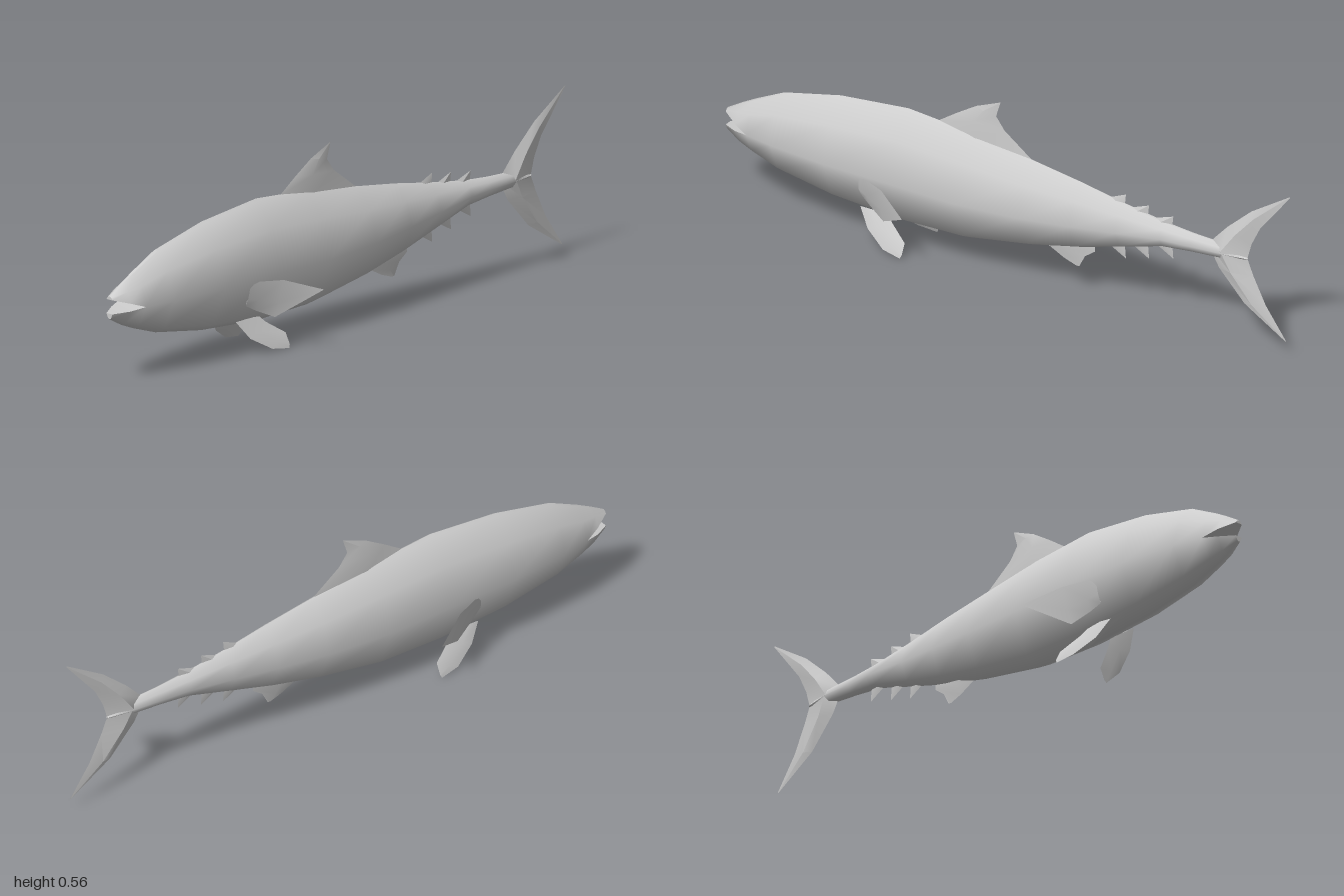
import * as THREE from 'three';
import { toCreasedNormals } from 'three/addons/utils/BufferGeometryUtils.js';

const skin = new THREE.MeshStandardMaterial({ color: 0xcccccc, side: THREE.DoubleSide });
skin.name = 'silver grey';

// Triangles joining neighbouring rings of points
function loft(rings, closed) {
  const out = [];
  for (let i = 0; i < rings.length - 1; i++) {
    const p = rings[i], q = rings[i + 1], n = p.length;
    for (let j = 0; j < (closed ? n : n - 1); j++) {
      const k = (j + 1) % n;
      out.push(...p[j], ...q[j], ...q[k], ...p[j], ...q[k], ...p[k]);
    }
  }
  return out;
}

// Fan closing the front end of a ring
function cap(ring) {
  const out = [];
  for (let j = 1; j < ring.length - 1; j++) out.push(...ring[0], ...ring[j], ...ring[j + 1]);
  return out;
}

function makeMesh(name, positions, crease) {
  const g = new THREE.BufferGeometry();
  g.setAttribute('position', new THREE.Float32BufferAttribute(positions, 3));
  const mesh = new THREE.Mesh(toCreasedNormals(g, crease), skin);
  mesh.name = name;
  return mesh;
}

// Body sections: x, top, bottom, half width, upper lip, lower lip
const sections = [
  [-1, 0.275, 0.205, 0.012, 0.265, 0.222],
  [-0.95, 0.305, 0.178, 0.04, 0.25, 0.226],
  [-0.9, 0.332, 0.158, 0.056, 0.233, 0.233],
  [-0.8, 0.38, 0.125, 0.078],
  [-0.6, 0.426, 0.092, 0.098],
  [-0.36, 0.45, 0.074, 0.1],
  [-0.14, 0.432, 0.08, 0.097],
  [0.08, 0.4, 0.118, 0.084],
  [0.25, 0.375, 0.157, 0.065],
  [0.4, 0.348, 0.2, 0.047],
  [0.55, 0.325, 0.245, 0.034],
  [0.65, 0.316, 0.255, 0.026],
  [0.75, 0.312, 0.262, 0.021],
  [0.84, 0.286, 0.28, 0.004],
];

function makeBody() {
  const upper = [], lower = [];
  for (const [x, top, bottom, w, up, low] of sections) {
    const side = bottom + (top - bottom) * 0.435;
    const u = up ?? side, l = low ?? side;
    const shoulder = u + (top - u) * 0.61, belly = l + (bottom - l) * 0.83;
    upper.push([[x, u, w], [x, shoulder, 0.68 * w], [x, top - 0.03 * (top - u), 0.09 * w], [x, top, 0],
      [x, top - 0.03 * (top - u), -0.09 * w], [x, shoulder, -0.68 * w], [x, u, -w]]);
    lower.push([[x, l, -w], [x, belly, -0.5 * w], [x, bottom, 0], [x, belly, 0.5 * w], [x, l, w]]);
  }
  // Roof and floor of the mouth
  const lips = arcs => arcs.slice(0, 3).map(r => [r[r.length - 1], r[0]]);
  return makeMesh('body', [
    ...loft(upper), ...loft(lower), ...loft(lips(upper)), ...loft(lips(lower)),
    ...cap(upper[0]), ...cap(lower[0]),
  ], 1.0);
}

// Lens-shaped fin; each row is leading point, trailing point, half thickness
function makeFin(name, rows, normal = [0, 0, 1]) {
  const rings = rows.map(([a, b, t]) => {
    const p = [a[0], a[1], a[2] ?? 0], q = [b[0], b[1], b[2] ?? 0];
    const mid = s => p.map((v, i) => v * 0.6 + q[i] * 0.4 + s * t * normal[i]);
    return [p, mid(1), q, mid(-1)];
  });
  return makeMesh(name, loft(rings, true), 0.5);
}

export function createModel() {
  const model = new THREE.Group();
  model.name = 'fish';
  model.add(makeBody());

  model.add(makeFin('dorsalFin', [
    [[-0.26, 0.435], [0.09, 0.39], 0.01],
    [[-0.19, 0.482], [-0.02, 0.47], 0.01],
    [[-0.12, 0.525], [-0.05, 0.51], 0.007],
    [[-0.035, 0.56], [-0.035, 0.558], 0],
  ]));

  model.add(makeFin('analFin', [
    [[0.12, 0.14], [0.3, 0.175], 0.01],
    [[0.14, 0.13], [0.3, 0.155], 0.008],
    [[0.19, 0.105], [0.265, 0.13], 0.005],
    [[0.235, 0.09], [0.245, 0.092], 0],
  ]));

  model.add(makeFin('tailFin', [
    [[0.99, 0.53], [0.992, 0.528], 0],
    [[0.855, 0.445], [0.885, 0.395], 0.009],
    [[0.77, 0.37], [0.855, 0.335], 0.014],
    [[0.7, 0.295], [0.84, 0.283], 0.019],
    [[0.74, 0.225], [0.862, 0.23], 0.014],
    [[0.83, 0.13], [0.905, 0.145], 0.008],
    [[0.975, 0.043], [0.977, 0.045], 0],
  ]));

  // Finlets along the tail, above and below
  const finlets = [[0.41, 0.377, 0.163], [0.492, 0.363, 0.185], [0.578, 0.35, 0.209]];
  finlets.forEach(([x, top, bottom], i) => {
    const dip = 0.01 * i;
    model.add(makeFin('upperFinlet', [
      [[x - 0.075, 0.345 - dip], [x - 0.005, 0.33 - dip], 0.007], [[x, top], [x, top], 0]]));
    model.add(makeFin('lowerFinlet', [
      [[x - 0.065, bottom + 0.035], [x - 0.005, bottom + 0.06], 0.007], [[x, bottom], [x, bottom], 0]]));
  });

  // Paired fins
  for (const s of [1, -1]) {
    const label = s > 0 ? 'left' : 'right';
    model.add(makeFin(label + 'PectoralFin', [
      [[-0.48, 0.155, s * 0.07], [-0.48, 0.22, s * 0.09], 0.006],
      [[-0.445, 0.135, s * 0.08], [-0.45, 0.23, s * 0.1], 0.006],
      [[-0.385, 0.108, s * 0.1], [-0.375, 0.225, s * 0.127], 0.005],
      [[-0.265, 0.183, s * 0.185], [-0.265, 0.185, s * 0.185], 0],
    ], [-0.5, -0.3, s * 0.8]));
    model.add(makeFin(label + 'PelvicFin', [
      [[-0.5, 0.105, s * 0.048], [-0.4, 0.105, s * 0.048], 0.005],
      [[-0.46, 0.05, s * 0.07], [-0.38, 0.085, s * 0.058], 0.005],
      [[-0.39, 0.01, s * 0.095], [-0.32, 0.045, s * 0.083], 0.004],
      [[-0.325, 0.001, s * 0.103], [-0.32, 0.012, s * 0.1], 0],
    ], [0, 0.5, s * 0.87]));
  }
  return model;
}
